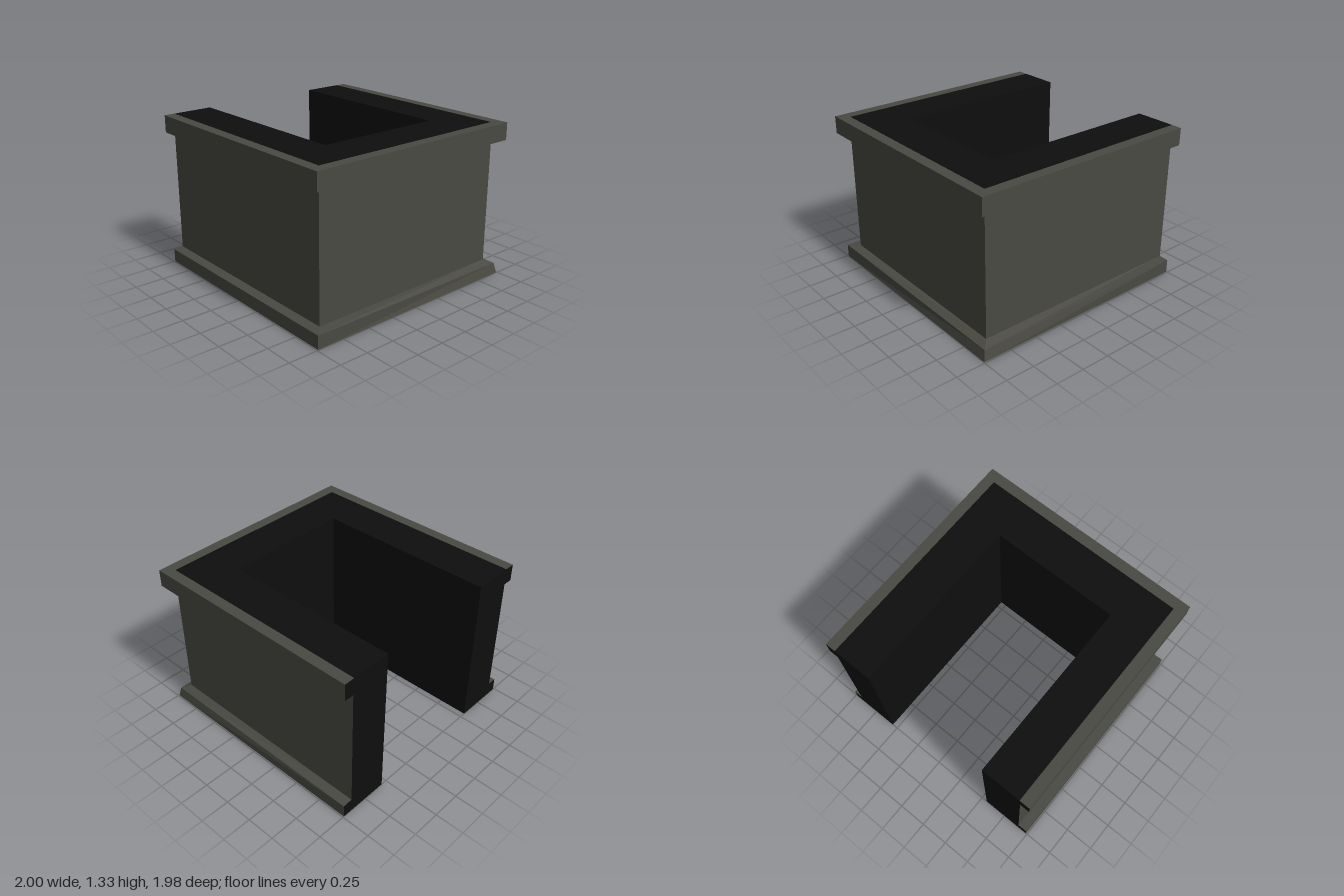
import * as THREE from 'three';

const END = -1;       // x of the two open ends
const DEPTH = 0.993;  // slight squash in z

// Sweep a profile of [offset, y] points along the mitred U path
function sweep(profile, adjust = (p) => p) {
  const path = (d) => [[END, d], [d, d], [d, -d], [END, -d]];
  const pos = [];
  for (let i = 0; i < profile.length - 1; i++) {
    for (let s = 0; s < 3; s++) {
      const at = ([d, y], k) => {
        const [x, z] = path(d)[k];
        return adjust([x, y, z * DEPTH]);
      };
      const a = at(profile[i], s), b = at(profile[i], s + 1);
      const c = at(profile[i + 1], s + 1), e = at(profile[i + 1], s);
      pos.push(...a, ...b, ...c, ...a, ...c, ...e);
    }
  }
  const g = new THREE.BufferGeometry();
  g.setAttribute('position', new THREE.Float32BufferAttribute(pos, 3));
  g.computeVertexNormals();
  return g;
}

export function createModel() {
  const stone = new THREE.MeshStandardMaterial({ name: 'olive grey', color: 0x4a4a43, side: THREE.DoubleSide });
  const black = new THREE.MeshStandardMaterial({ name: 'black', color: 0x0e0e0e, side: THREE.DoubleSide });
  const group = new THREE.Group();
  group.name = 'walledBay';
  const add = (name, geometry, material) => {
    const mesh = new THREE.Mesh(geometry, material);
    mesh.name = name;
    group.add(mesh);
  };

  const base = [[0.997, 0], [0.997, 0.115], [0.912, 0.12]];
  const wall = [[0.912, 0.12], [0.912, 1.18]];
  const cornice = [[0.912, 1.18], [0.997, 1.18], [0.997, 1.327], [0.905, 1.327]];
  const lining = [[0.905, 1.327], [0.555, 1.327], [0.555, 0]];

  // Skirting, with one dented corner at the back
  add('baseSkirting', sweep(base, ([x, y, z]) =>
    (x > 0.95 && z < -0.95 && y > 0.1 ? [0.978, 0.088, -0.972] : [x, y, z])), stone);
  add('outerWall', sweep(wall), stone);
  add('cornice', sweep(cornice), stone);

  // Dark top surface and inner wall; the underside stays open
  add('innerLining', sweep(lining), black);

  // Dark caps closing the two free ends of the wall
  const section = [...base, ...wall, ...cornice, ...lining];
  for (const side of [1, -1]) {
    const shape = new THREE.Shape(section.map(([d, y]) => new THREE.Vector2(side * d * DEPTH, y))
      .filter((p, i, all) => i === 0 || p.distanceTo(all[i - 1]) > 1e-6));
    const cap = new THREE.ShapeGeometry(shape);
    cap.rotateY(-Math.PI / 2);
    cap.translate(END, 0, 0);
    add(side > 0 ? 'frontEndCap' : 'backEndCap', cap, black);
  }
  return group;
}
